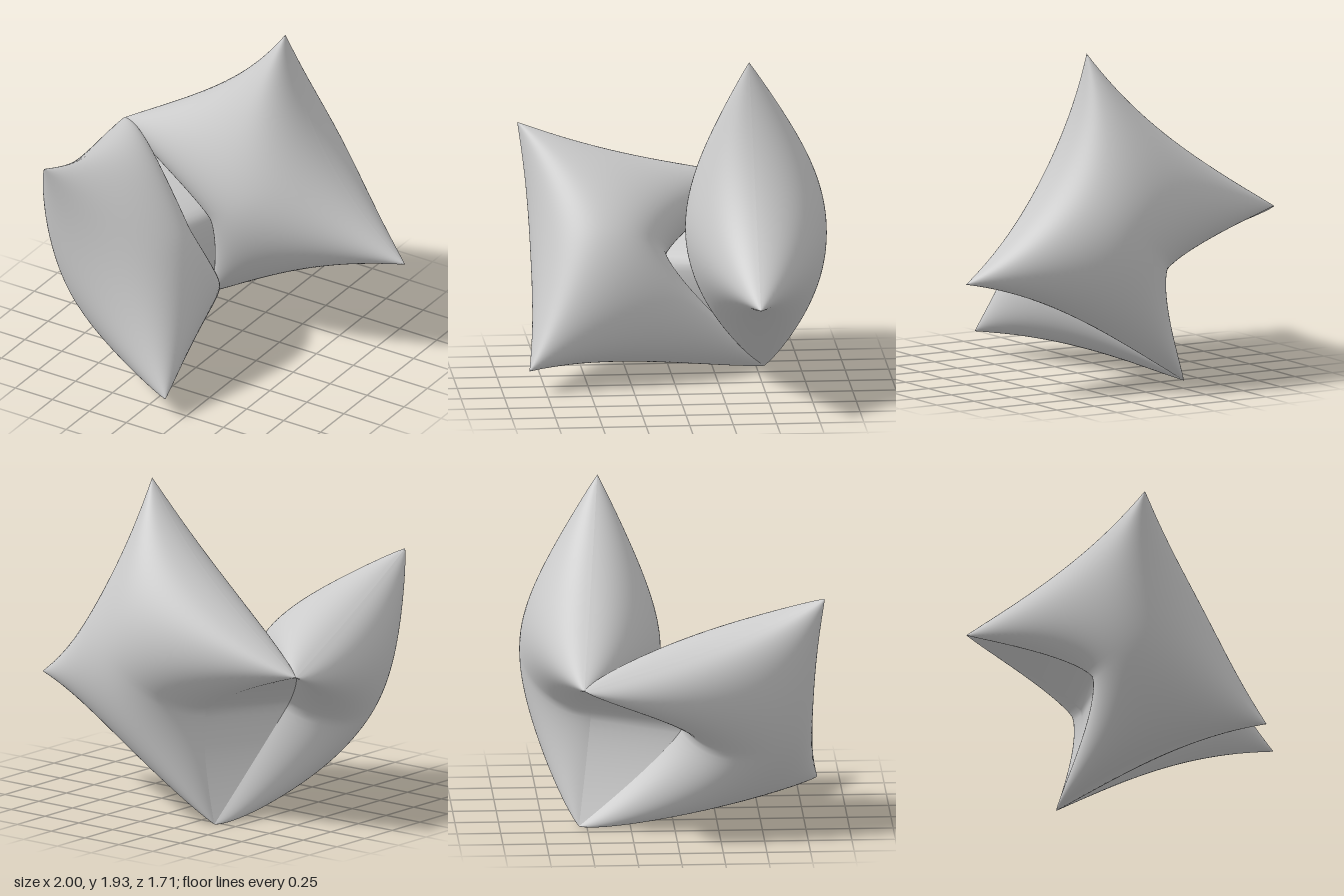
import * as THREE from 'three';

const V = (x, y, z) => new THREE.Vector3(x, y, z);
const grey = new THREE.MeshStandardMaterial({ color: 0xcccccc, side: THREE.DoubleSide });
const N = 56;

// Corners and notch tips shared by the two cushions and the web between them
const hingeLow = V(-0.38, 0.01, -0.545);
const hingeHigh = V(-0.985, 0.97, -0.545);
const hingeMid = hingeLow.clone().lerp(hingeHigh, 0.5);
const notchBack = V(-0.26, 0.65, -0.47);
const notchFront = V(-0.44, 0.61, 0.05);

// Bilinear blend of four corners, u running away from the hinge and v up along it
function patch(c, u, v) {
  const low = hingeLow.clone().lerp(c.farLow, (u + 1) / 2);
  const high = hingeHigh.clone().lerp(c.farHigh, (u + 1) / 2);
  return low.lerp(high, (v + 1) / 2);
}

// Shape of the notch along the hinge, sharp at the rim (h = 1) and soft further in
const notchDepth = (v, h) => 1 - Math.abs(v) ** (2 - 0.7 * h);

// Inflated four-cornered cushion: edges drawn inwards, deep notch on the hinge edge
function cushion(name, c) {
  const along = patch(c, 1, 0).sub(hingeMid).normalize();
  const across = patch(c, 0, 1).sub(patch(c, 0, -1)).normalize();
  const normal = along.clone().cross(across).normalize();
  const notch = c.notch.clone().sub(hingeMid);

  const point = (u, v, side) => {
    const fu = Math.max(0, 1 - u * u), fv = Math.max(0, 1 - v * v), h = (1 - u) / 2;
    const p = patch(c, u, v);
    p.addScaledVector(notch, notchDepth(v, h) * h);
    p.addScaledVector(along, -c.farPull * fv * (1 - h));
    p.addScaledVector(across, -c.sidePull * v * fu * (1 + 0.35 * u));
    // rounded lobes at the hinge corners, a dimple behind the notch
    const power = c.power + c.lobe * h * h * Math.cos(Math.PI * v);
    return p.addScaledVector(normal, side * c.half * (fu * fv) ** power + c.bow * fu * fv);
  };

  const pos = [], idx = [];
  for (const side of [1, -1]) {
    const base = pos.length / 3;
    for (let j = 0; j <= N; j++) for (let i = 0; i <= N; i++) {
      // samples crowd towards the seams so the rims stay round
      const u = Math.sin((i / N - 0.5) * Math.PI), v = Math.sin((j / N - 0.5) * Math.PI);
      pos.push(...point(u, v, side).toArray());
      if (i === N || j === N) continue;
      const a = base + j * (N + 1) + i, b = a + 1, d = a + N + 1, e = d + 1;
      if (side > 0) idx.push(a, b, e, a, e, d);
      else idx.push(a, e, b, a, d, e);
    }
  }
  return surface(name, pos, idx);
}

function surface(name, pos, idx) {
  const g = new THREE.BufferGeometry();
  g.setAttribute('position', new THREE.Float32BufferAttribute(pos, 3));
  g.setIndex(idx);
  g.computeVertexNormals();
  const mesh = new THREE.Mesh(g, grey);
  mesh.name = name;
  return mesh;
}

// Thin web ruled between the two notch rims
function hingeWeb() {
  const pos = [], idx = [], steps = 24;
  for (let j = 0; j <= steps; j++) {
    const v = j / steps * 2 - 1;
    const hinge = hingeLow.clone().lerp(hingeHigh, j / steps);
    for (const tip of [notchBack, notchFront]) {
      const p = hinge.clone().addScaledVector(tip.clone().sub(hingeMid), notchDepth(v, 1));
      pos.push(...p.toArray());
    }
    const a = 2 * j;
    if (j < steps) idx.push(a, a + 3, a + 1, a, a + 2, a + 3);
  }
  return surface('hingeWeb', pos, idx);
}

export function createModel() {
  const model = new THREE.Group();
  model.name = 'foldedCushions';

  // Upright cushion at the back
  model.add(cushion('backCushion', {
    farLow: V(1, 0.67, -0.41), farHigh: V(0.19, 1.94, -0.41), notch: notchBack,
    farPull: 0.16, sidePull: 0.08, half: 0.405, bow: -0.01, power: 0.48, lobe: 0.035,
  }));

  // Slanted cushion reaching forward
  model.add(cushion('frontCushion', {
    farLow: V(0.17, 0.14, 0.85), farHigh: V(-0.65, 1.41, 0.85), notch: notchFront,
    farPull: 0.09, sidePull: 0.06, half: 0.38, bow: -0.005, power: 0.45, lobe: 0.06,
  }));

  model.add(hingeWeb());
  return model;
}
